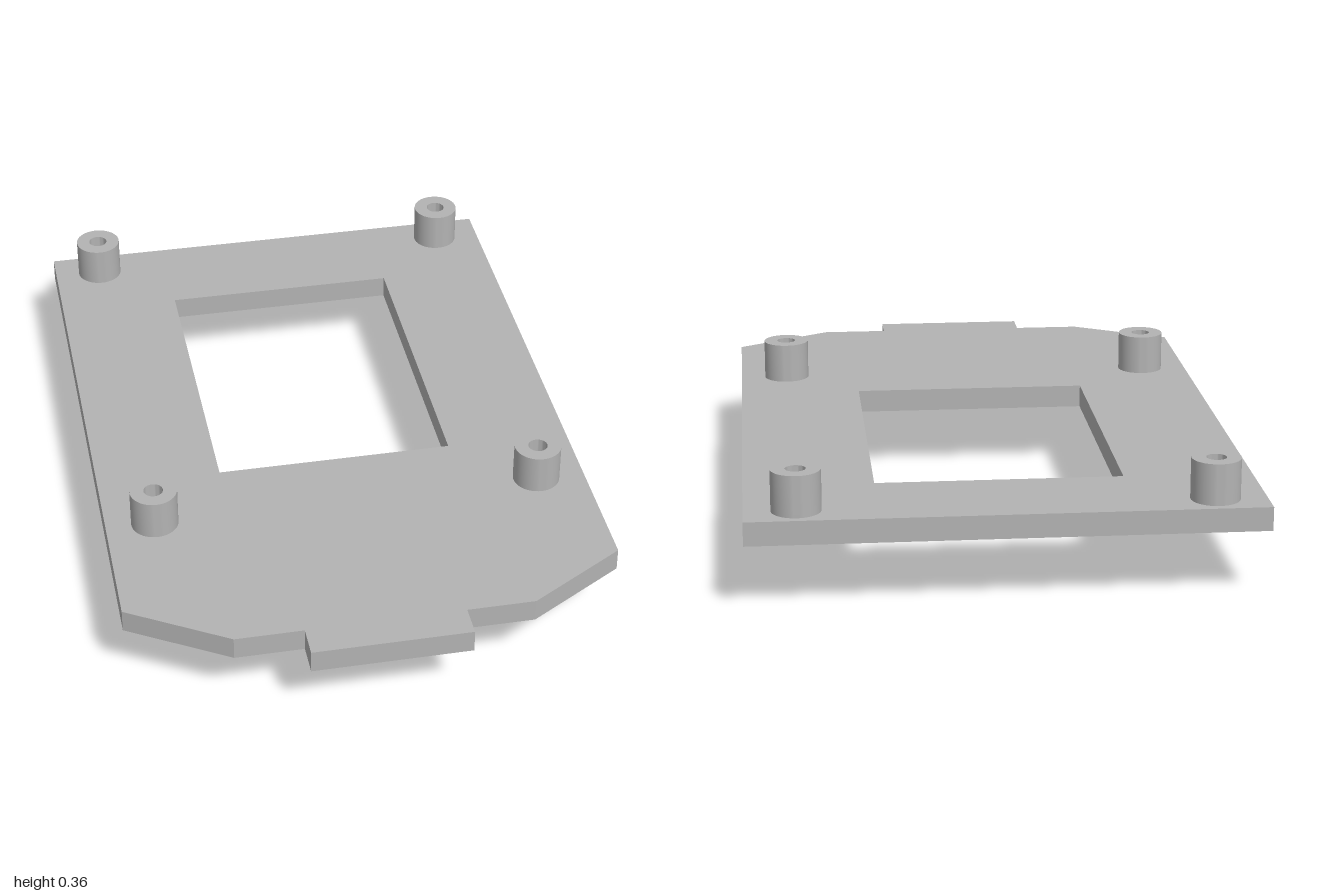
import * as THREE from 'three';
import { toCreasedNormals } from 'three/addons/utils/BufferGeometryUtils.js';

export function createModel() {
  const model = new THREE.Group();
  model.name = 'mountingPlate';
  const grey = new THREE.MeshStandardMaterial({ color: 0xb3b3b3 });
  grey.name = 'grey';

  const add = (name, geometry, x, y, z) => {
    const mesh = new THREE.Mesh(geometry, grey);
    mesh.name = name;
    mesh.position.set(x, y, z);
    model.add(mesh);
  };
  const polygon = (Type, points) => new Type(points.map(([x, y]) => new THREE.Vector2(x, y)));

  const bottom = 0.182, top = 0.247;

  // Plate: right half of the outline as (x, z), mirrored to the left
  const half = [[0.22, 1], [0.22, 0.91], [0.41, 0.91], [0.685, 0.745], [0.685, -1]];
  const outline = [...half, ...half.map(([x, z]) => [-x, z]).reverse()];
  const plate = polygon(THREE.Shape, outline.map(([x, z]) => [x, -z]));
  plate.holes.push(polygon(THREE.Path, [[-0.335, 0.705], [0.335, 0.705], [0.335, -0.195], [-0.335, -0.195]]));
  const plateGeometry = new THREE.ExtrudeGeometry(plate, { depth: top - bottom, bevelEnabled: false });
  plateGeometry.rotateX(-Math.PI / 2);
  add('plate', plateGeometry, 0, bottom, 0);

  // Four hollow standoffs
  const outer = 0.066, inner = 0.027, height = 0.36 - top;
  const profile = [[outer, 0], [outer, height], [inner, height], [inner, 0]]
    .map(([r, y]) => new THREE.Vector2(r, y));
  const standoff = toCreasedNormals(new THREE.LatheGeometry(profile, 48), 0.6);
  for (const x of [-0.547, 0.547])
    for (const z of [-0.913, 0.385]) add('standoff', standoff, x, top, z);

  // Block under the plate with a blind round hole in its outer side
  const w = 0.175 / 2, h = bottom / 2, holeDepth = 0.14, back = 0.04;
  const section = polygon(THREE.Shape, [[-w, -h], [w, -h], [w, h], [-w, h]]);
  section.holes.push(new THREE.Path().absarc(0, 0, 0.047, 0, Math.PI * 2, true));
  const drilled = new THREE.ExtrudeGeometry(section, { depth: holeDepth, bevelEnabled: false, curveSegments: 40 });
  drilled.rotateY(Math.PI / 2);
  add('drilledBlock', toCreasedNormals(drilled, 0.6), 0.636 - holeDepth, h, 0.309);
  add('blockBack', new THREE.BoxGeometry(back, bottom, w * 2), 0.636 - holeDepth - back / 2, h, 0.309);

  return model;
}
